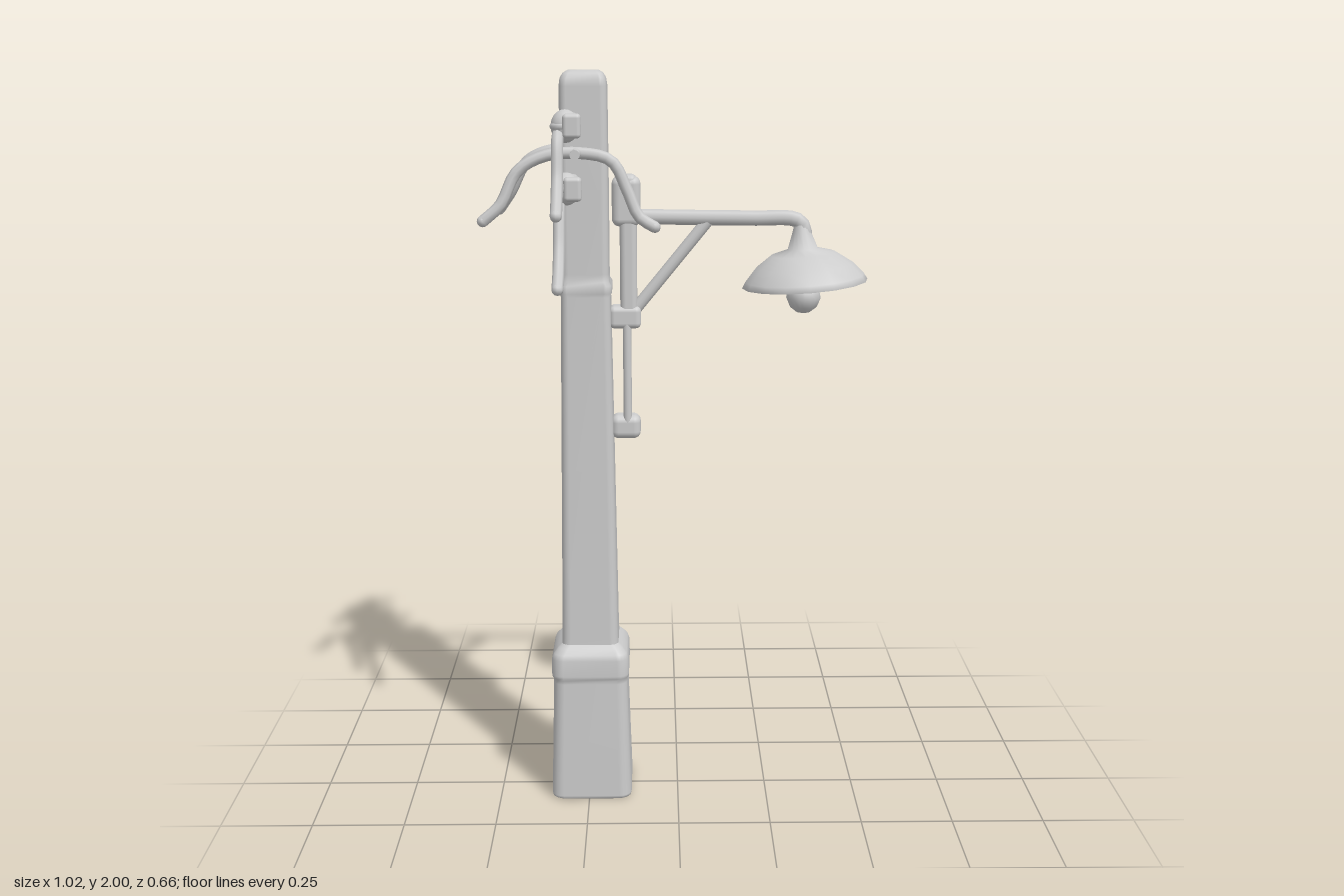
import * as THREE from 'three';
import { RoundedBoxGeometry } from 'three/addons/geometries/RoundedBoxGeometry.js';

const grey = new THREE.MeshStandardMaterial({ color: 0xcccccc });
grey.name = 'plain grey';
const greyOpen = new THREE.MeshStandardMaterial({ color: 0xcccccc, side: THREE.DoubleSide });
greyOpen.name = 'plain grey sheet';

const V = (p) => new THREE.Vector3(...p);

export function createModel() {
  const model = new THREE.Group();
  model.name = 'streetLampPost';

  const add = (name, geometry, position = [0, 0, 0], material = grey) => {
    const mesh = new THREE.Mesh(geometry, material);
    mesh.name = name;
    mesh.position.set(...position);
    model.add(mesh);
    return mesh;
  };
  const box = (name, w, h, d, position, r = 0.01) =>
    add(name, new RoundedBoxGeometry(w, h, d, 3, r), position);
  const rod = (name, a, b, r, sides = 12) => {
    const from = V(a), to = V(b), dir = to.clone().sub(from);
    const mesh = add(name, new THREE.CylinderGeometry(r, r, dir.length(), sides),
      from.clone().add(to).multiplyScalar(0.5).toArray());
    mesh.quaternion.setFromUnitVectors(new THREE.Vector3(0, 1, 0), dir.normalize());
    return mesh;
  };
  const tube = (name, points, r) => {
    const pts = points.map(V);
    add(name, new THREE.TubeGeometry(new THREE.CatmullRomCurve3(pts), 28, r, 8));
    for (const p of [pts[0], pts[pts.length - 1]])
      add(name + 'End', new THREE.SphereGeometry(r, 8, 6), p.toArray());
  };

  // Loft of rounded squares: each ring is [height, half width]
  const loft = (rings, seg = 5) => {
    const pos = [], idx = [], n = 4 * (seg + 1);
    for (const [y, h] of rings) {
      const r = h * 0.3, c = h - r;
      for (let q = 0; q < 4; q++) {
        const mid = (q + 0.5) * Math.PI / 2;
        for (let s = 0; s <= seg; s++) {
          const a = (q + s / seg) * Math.PI / 2;
          pos.push(Math.sign(Math.cos(mid)) * c + r * Math.cos(a), y,
            Math.sign(Math.sin(mid)) * c + r * Math.sin(a));
        }
      }
    }
    for (let i = 0; i < rings.length - 1; i++)
      for (let j = 0; j < n; j++) {
        const a = i * n + j, b = i * n + (j + 1) % n;
        idx.push(a, a + n, b, b, a + n, b + n);
      }
    const g = new THREE.BufferGeometry();
    g.setAttribute('position', new THREE.Float32BufferAttribute(pos, 3));
    g.setIndex(idx);
    g.computeVertexNormals();
    return g;
  };

  // Post: pedestal with collar, tapering shaft, ring and rounded top
  const cx = -0.243;
  add('pedestal', loft([[0, 0.0005], [0, 0.104], [0.004, 0.11], [0.012, 0.112], [0.345, 0.102],
    [0.355, 0.102], [0.362, 0.106], [0.37, 0.107], [0.415, 0.106], [0.43, 0.101],
    [0.445, 0.088], [0.46, 0.07]]), [cx, 0, 0]);
  add('shaft', loft([[0.42, 0.08], [0.47, 0.077], [0.95, 0.071], [1.42, 0.065],
    [1.43, 0.069], [1.45, 0.069], [1.46, 0.063], [1.48, 0.062], [1.7, 0.062], [1.96, 0.061],
    [1.98, 0.058], [1.992, 0.051], [1.999, 0.04], [2, 0.0005]]), [cx, 0, 0]);

  // Bracket carrying the lamp arm
  box('bracketUpper', 0.045, 0.38, 0.056, [-0.13, 1.545, 0], 0.015);
  box('bracketHead', 0.075, 0.13, 0.062, [-0.135, 1.665, 0], 0.02);
  box('bracketMiddle', 0.085, 0.06, 0.062, [-0.14, 1.36, 0], 0.015);
  for (const z of [-0.02, 0.02]) rod('bracketRail', [-0.135, 1.06, z], [-0.135, 1.35, z], 0.011);
  box('bracketWeb', 0.022, 0.3, 0.036, [-0.135, 1.2, 0], 0.004);
  box('bracketFoot', 0.08, 0.065, 0.062, [-0.14, 1.06, 0], 0.02);

  // Lamp arm with elbow and diagonal brace
  tube('lampArm', [[-0.12, 1.625, 0], [0.05, 1.622, 0], [0.2, 1.62, 0], [0.31, 1.617, 0],
    [0.33, 1.6, 0], [0.335, 1.55, 0]], 0.02);
  rod('brace', [-0.12, 1.37, 0], [0.08, 1.615, 0], 0.016);

  // Lamp shade, slightly tilted, and bulb
  const shade = add('lampShade', new THREE.LatheGeometry([[0.018, 0.15], [0.024, 0.13],
    [0.04, 0.085], [0.085, 0.072], [0.13, 0.04], [0.158, 0.008], [0.167, -0.008], [0.157, -0.006],
    [0.12, 0.032], [0.075, 0.056], [0.02, 0.066]].map((p) => new THREE.Vector2(...p).clone())
    .reverse(), 16), [0.337, 1.455, 0], greyOpen);
  shade.rotation.z = 0.08;
  add('bulb', new THREE.LatheGeometry([[0.0001, 0], [0.018, 0.004], [0.036, 0.018], [0.046, 0.042],
    [0.042, 0.062], [0.028, 0.082], [0.026, 0.15]].map((p) => new THREE.Vector2(...p)), 18),
  [0.335, 1.367, 0]);

  // Cross rods, insulators and drooping cables on both sides
  for (const s of [-1, 1]) {
    for (const y of [1.88, 1.725]) {
      rod('crossRod', [-0.27, y, s * 0.03], [-0.27, y, s * 0.2], 0.016);
      box('insulatorCap', 0.045, 0.06, 0.036, [-0.265, y - 0.012, s * 0.187], 0.01);
      const knob = add('insulator', new THREE.SphereGeometry(0.036, 14, 10), [-0.283, y - 0.014, s * 0.155]);
      knob.scale.set(1, 1.15, 1);
      const collar = add('insulatorRing', new THREE.TorusGeometry(0.03, 0.009, 8, 16), [-0.283, y - 0.014, s * 0.155]);
      collar.rotation.x = Math.PI / 2;
    }
    const ux = s > 0 ? -0.3 : -0.27;
    const end = s > 0 ? 1.66 : 1.73;
    tube('upperCable', [[ux, 1.85, s * 0.15], [ux, 1.835, s * 0.2], [ux, (1.83 + end) / 2 - 0.005, s * 0.24],
      [ux, end + 0.025, s * 0.285], [ux, end, s * 0.315]], 0.015);
    tube('lowerCable', [[-0.3, 1.7, s * 0.15], [-0.3, 1.65, s * 0.178], [-0.3, 1.565, s * 0.215],
      [-0.3, 1.51, s * 0.26], [-0.3, 1.48, s * 0.31]], 0.015);
    rod('sidePeg', [-0.26, 1.795, s * 0.04], [-0.26, 1.795, s * 0.16], 0.013);
  }

  // Cables running along the front and back faces
  tube('frontCable', [[-0.5, 1.625, 0.11], [-0.455, 1.665, 0.105], [-0.41, 1.75, 0.095],
    [-0.34, 1.788, 0.09], [-0.25, 1.795, 0.088], [-0.17, 1.775, 0.09], [-0.13, 1.7, 0.095],
    [-0.1, 1.635, 0.105], [-0.06, 1.61, 0.112]], 0.015);
  tube('backCable', [[-0.48, 1.63, -0.137], [-0.445, 1.68, -0.115], [-0.4, 1.76, -0.095],
    [-0.34, 1.79, -0.085], [-0.25, 1.795, -0.085]], 0.015);

  return model;
}
